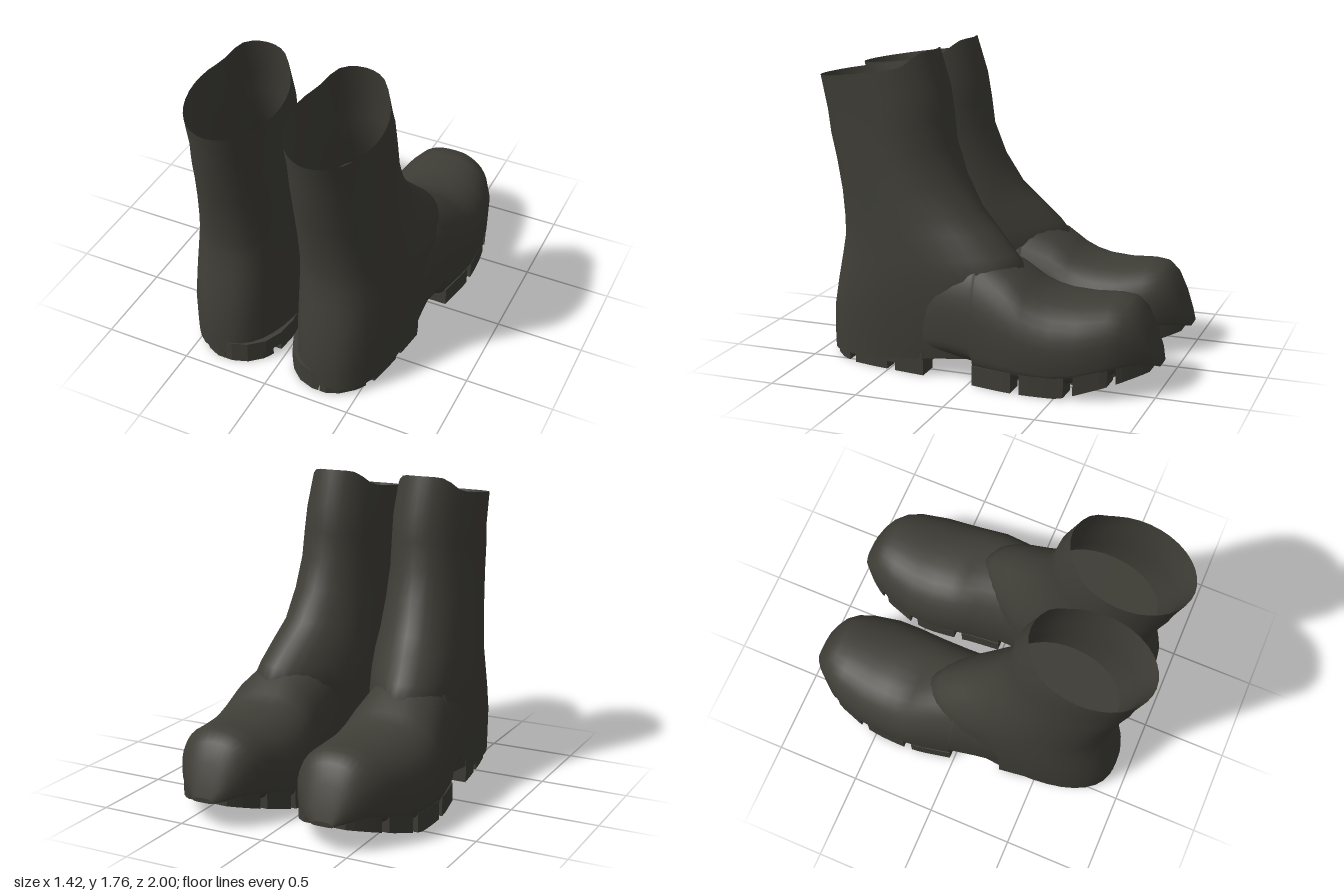
import * as THREE from 'three';
import { mergeVertices } from 'three/addons/utils/BufferGeometryUtils.js';

const N = 36; // points in each ring
const spow = (v, p) => Math.sign(v) * Math.pow(Math.abs(v), p);
const clamp = THREE.MathUtils.clamp;
const lerp = THREE.MathUtils.lerp;

// Upward curve of the sole towards the toe
const rise = z => Math.max(0, (-0.52 - z) * 0.3);

// Foot sections: z, inner x, outer x, top y, underside above the toe curve
const FOOT = [
  [0.45, 0.1, 0.54, 0.6, 0.14], [0.28, 0.07, 0.615, 0.68, 0.12], [0.12, 0.08, 0.64, 0.71, 0.115],
  [0, 0.09, 0.66, 0.72, 0.1], [-0.02, 0.09, 0.665, 0.71, 0.1], [-0.025, 0.09, 0.665, 0.71, 0.045],
  [-0.2, 0.075, 0.7, 0.635, 0.045], [-0.3, 0.06, 0.71, 0.56, 0.045], [-0.38, 0.05, 0.71, 0.522, 0.045],
  [-0.47, 0.042, 0.705, 0.5, 0.045], [-0.6, 0.045, 0.69, 0.492, 0.04], [-0.75, 0.085, 0.645, 0.503, 0.04],
  [-0.83, 0.12, 0.6, 0.497, 0.04], [-0.89, 0.16, 0.55, 0.45, 0.035], [-0.94, 0.205, 0.505, 0.35, 0.025],
  [-0.98, 0.25, 0.455, 0.24, 0.015], [-1, 0.3, 0.42, 0.17, 0],
];

// Shaft rings: front y, front z, back y, back z, inner x, outer x
const SHAFT = [
  [1.685, 0.31, 1.59, 1.0, 0.03, 0.53], [1.55, 0.245, 1.4, 0.96, 0.03, 0.535],
  [1.4, 0.222, 1.27, 0.938, 0.03, 0.543], [1.25, 0.205, 1.12, 0.9, 0.03, 0.55],
  [1.07, 0.14, 0.95, 0.865, 0.028, 0.565], [0.9, 0.04, 0.8, 0.848, 0.027, 0.58],
  [0.8, -0.06, 0.7, 0.845, 0.025, 0.592], [0.68, -0.18, 0.58, 0.865, 0.022, 0.605],
  [0.6, -0.24, 0.45, 0.89, 0.02, 0.615], [0.4, -0.25, 0.3, 0.915, 0.02, 0.62],
  [0.2, -0.25, 0.15, 0.922, 0.02, 0.615], [0.14, -0.2, 0.04, 0.92, 0.02, 0.61],
];

// Sole outline: z, inner x, outer x
const SOLE = [
  [0.92, 0.25, 0.34], [0.89, 0.16, 0.41], [0.82, 0.08, 0.49], [0.72, 0.035, 0.545], [0.6, 0.02, 0.57],
  [0.4, 0.04, 0.6], [0.28, 0.07, 0.615], ...FOOT.slice(3),
];
function edge(z, column) {
  let i = 1;
  while (i < SOLE.length - 1 && SOLE[i][0] > z) i++;
  const a = SOLE[i - 1], b = SOLE[i];
  return lerp(a[column], b[column], clamp((a[0] - z) / (a[0] - b[0]), 0, 1));
}

// Skin through rings, with optional flat caps at either end
function loft(rings, capStart, capEnd, inward = false) {
  const pos = [], idx = [];
  rings.forEach(r => r.forEach(p => pos.push(...p)));
  for (let i = 0; i < rings.length - 1; i++) {
    for (let j = 0; j < N; j++) {
      const a = i * N + j, b = i * N + (j + 1) % N;
      idx.push(a, b, a + N, b, b + N, a + N);
    }
  }
  const cap = (ring, flip) => {
    const start = pos.length / 3;
    const mid = [0, 1, 2].map(k => ring.reduce((s, p) => s + p[k], 0) / N);
    ring.forEach(p => pos.push(...p));
    pos.push(...mid);
    for (let j = 0; j < N; j++) {
      const a = start + j, b = start + (j + 1) % N;
      idx.push(...(flip ? [b, a, start + N] : [a, b, start + N]));
    }
  };
  if (capStart) cap(rings[0], true);
  if (capEnd) cap(rings[rings.length - 1], false);
  // Turn the faces outward by the sign of the enclosed volume
  let volume = 0;
  const v = i => new THREE.Vector3().fromArray(pos, i * 3).sub(new THREE.Vector3(0.3, 1, 0.4));
  for (let i = 0; i < idx.length; i += 3) volume += v(idx[i]).dot(v(idx[i + 1]).cross(v(idx[i + 2])));
  if ((volume < 0) !== inward) idx.reverse();
  const g = new THREE.BufferGeometry();
  g.setAttribute('position', new THREE.Float32BufferAttribute(pos, 3));
  g.setIndex(idx);
  g.computeVertexNormals();
  return g;
}

function shaftRing([yF, zF, yB, zB, xIn, xOut], row, inset = 0) {
  const k = clamp((row - 1) / 6, 0, 1);
  return Array.from({ length: N }, (_, j) => {
    const t = (j / N) * Math.PI * 2, c = Math.cos(t), s = Math.sin(t);
    const n = c < 0 ? lerp(2, 2.4, k) : s < 0 ? lerp(2, 1.75, k) : 2;
    const f = spow(c, 2 / n);
    const z = (zF + zB) / 2 - ((zB - zF) / 2 - inset) * f;
    let x = (xIn + xOut) / 2 + ((xOut - xIn) / 2 - inset) * spow(s, 2 / n);
    x += 0.08 * clamp((0.2 - z) / 0.4, 0, 1);
    let y = lerp(yB, yF, (f + 1) / 2);
    if (row === 0) y += 0.072 * THREE.MathUtils.smoothstep(c, 0.55, 0.92); // raised front peak
    return [x, y, z];
  });
}

function footRing([z, xIn, xOut, top, under]) {
  const base = under + rise(z), mid = lerp(base, top, 0.33);
  return Array.from({ length: N }, (_, j) => {
    const t = (j / N) * Math.PI * 2, c = Math.cos(t), s = Math.sin(t);
    const n = s > 0 ? 2.3 : 4.5;
    return [
      (xIn + xOut) / 2 + ((xOut - xIn) / 2) * spow(c, 2 / n),
      mid + (s > 0 ? top - mid : mid - base) * spow(s, 2 / n), z,
    ];
  });
}

// Flat block from a plan outline of [x, z] points, following the toe curve
function block(points, y0, y1) {
  const shape = new THREE.Shape(points.map(([x, z]) => new THREE.Vector2(x, -z)));
  const g = new THREE.ExtrudeGeometry(shape, { depth: y1 - y0, bevelEnabled: false });
  g.rotateX(-Math.PI / 2).translate(0, y0, 0);
  const p = g.attributes.position;
  for (let i = 0; i < p.count; i++) p.setY(i, p.getY(i) + rise(p.getZ(i)));
  g.deleteAttribute('uv');
  g.computeVertexNormals();
  return mergeVertices(g);
}

// Lug along the inner (column 1) or outer (column 2) edge of the sole
function edgeLug(column, z0, z1, width) {
  const rim = [], inside = [];
  for (let i = 0; i <= 5; i++) {
    const z = lerp(z0, z1, i / 5), mid = (edge(z, 1) + edge(z, 2)) / 2;
    const x = edge(z, column), dir = column === 1 ? 1 : -1;
    rim.push([x + dir * 0.006, z]);
    inside.unshift([x + dir * Math.min(width * (i % 5 ? 1 : 0.8), Math.abs(mid - x) * 0.95), z]);
  }
  return block([...rim, ...inside], 0, 0.11);
}

// Slanted bar lug in the middle of the sole
function barLug(x, z, w, d, angle) {
  const c = Math.cos(angle), s = Math.sin(angle);
  const corners = [[-0.5, -0.3], [-0.4, -0.5], [0.4, -0.5], [0.5, -0.3], [0.5, 0.3], [0.4, 0.5], [-0.4, 0.5], [-0.5, 0.3]];
  return block(corners.map(([u, v]) => [x + u * w * c - v * d * s, z + u * w * s + v * d * c]), 0.005, 0.09);
}

function createBoot(side, material) {
  const boot = new THREE.Group();
  boot.name = side > 0 ? 'leftBoot' : 'rightBoot';
  const add = (name, g) => {
    if (side < 0) { // mirrored copy with its corners reordered
      g.scale(-1, 1, 1);
      g.index.array.reverse();
      g.computeVertexNormals();
    }
    const mesh = new THREE.Mesh(g, material);
    mesh.name = name;
    boot.add(mesh);
  };

  add('shaft', loft(SHAFT.map((r, i) => shaftRing(r, i)), false, true));
  add('lining', loft(SHAFT.slice(0, 5).map((r, i) => shaftRing(r, i, i ? 0.02 : 0)), false, true, true));
  add('foot', loft(FOOT.map(footRing), true, true));

  // Heel tread
  const heelZ = [0.28, 0.36, 0.45, 0.6, 0.72, 0.82, 0.89, 0.918];
  add('heelBase', block([...heelZ.map(z => [edge(z, 2) - 0.004, z]),
    ...heelZ.slice().reverse().map(z => [edge(z, 1) + 0.004, z])], 0.045, 0.13));
  for (const column of [1, 2]) {
    for (const [a, b] of [[0.28, 0.46], [0.51, 0.72], [0.77, 0.918]]) add('heelLug', edgeLug(column, a, b, 0.17));
  }
  add('heelBar', barLug(0.32, 0.4, 0.16, 0.1, 0.3));
  add('heelBar', barLug(0.3, 0.62, 0.16, 0.1, -0.3));

  // Forefoot tread
  for (const column of [1, 2]) {
    for (const [a, b] of [[-0.025, -0.26], [-0.31, -0.55], [-0.6, -0.77], [-0.81, -0.96]]) {
      add('soleLug', edgeLug(column, a, b, 0.16));
    }
  }
  for (const [i, z] of [-0.09, -0.24, -0.4, -0.56, -0.71].entries()) {
    add('soleBar', barLug(0.375, z, 0.24, 0.075, i % 2 ? 0.3 : -0.3));
  }
  return boot;
}

export function createModel() {
  const rubber = new THREE.MeshStandardMaterial({ color: 0x3e3d36 });
  rubber.name = 'darkOliveRubber';
  const model = new THREE.Group();
  model.name = 'bootPair';
  model.add(createBoot(1, rubber), createBoot(-1, rubber));
  return model;
}
